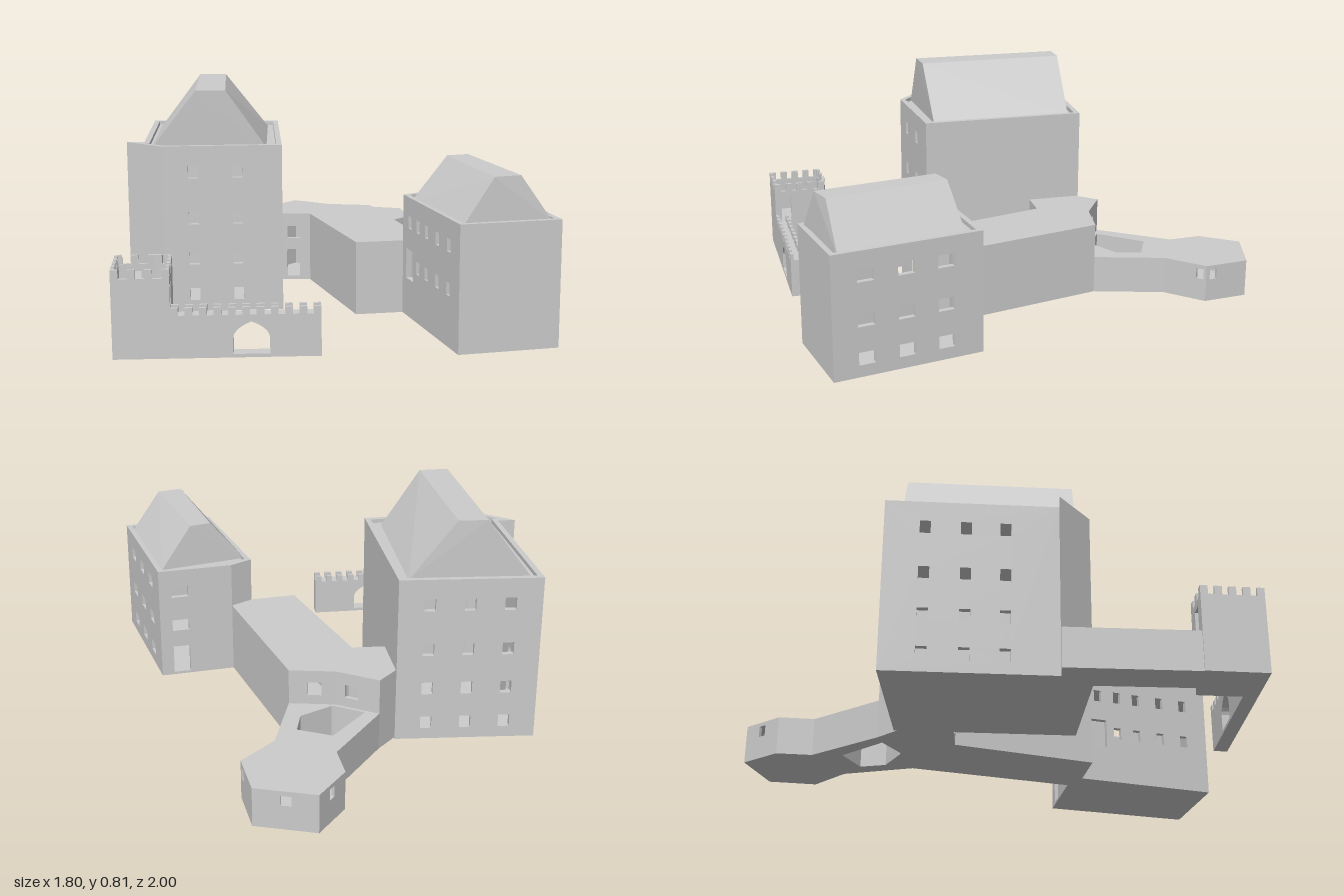
import * as THREE from 'three';
import { ConvexGeometry } from 'three/addons/geometries/ConvexGeometry.js';

const stone = new THREE.MeshStandardMaterial({ color: 0xcccccc, flatShading: true, side: THREE.DoubleSide });

function addMesh(parent, name, geometry) {
  const mesh = new THREE.Mesh(geometry, stone);
  mesh.name = name;
  parent.add(mesh);
  return mesh;
}

// Path or shape from ground points [x, z]
const outline = (pts, Type) => new Type(pts.map(([x, z]) => new THREE.Vector2(x, -z)));

// Upright prism over a ground outline
function prism(parent, name, pts, y0, y1, hole) {
  const shape = outline(pts, THREE.Shape);
  if (hole) shape.holes.push(outline(hole, THREE.Path));
  const geo = new THREE.ExtrudeGeometry(shape, { depth: y1 - y0, bevelEnabled: false });
  geo.rotateX(-Math.PI / 2).translate(0, y0, 0);
  return addMesh(parent, name, geo);
}

// Puts an object at p with its x axis running towards q, so +z is the outer side
function alignTo(obj, p, q) {
  obj.position.set(p[0], 0, p[1]);
  obj.rotation.y = Math.atan2(p[1] - q[1], q[0] - p[0]);
  return obj;
}

const span = (p, q) => Math.hypot(q[0] - p[0], q[1] - p[1]);

function rectShape(x0, y0, x1, y1, Type) {
  return new Type([[x0, y0], [x1, y0], [x1, y1], [x0, y1]].map(([x, y]) => new THREE.Vector2(x, y)));
}

// Turn from edge a-b to edge b-c, positive at outer corners
function turn(a, b, c) {
  const ux = b[0] - a[0], uz = b[1] - a[1], vx = c[0] - b[0], vz = c[1] - b[1];
  return Math.atan2(uz * vx - ux * vz, ux * vx + uz * vz);
}

// Mitred walls around an outline; openings[edge] lists [along, y, width, height]
function walls(parent, name, pts, height, t, openings = {}) {
  const n = pts.length;
  pts.forEach((p, i) => {
    const prev = pts[(i + n - 1) % n], q = pts[(i + 1) % n], next = pts[(i + 2) % n];
    const length = span(p, q);
    const shape = rectShape(0, 0, length, height, THREE.Shape);
    for (const [u, y, w, h] of openings[i] || [])
      shape.holes.push(rectShape(u - w / 2, y - h / 2, u + w / 2, y + h / 2, THREE.Path));
    const geo = new THREE.ExtrudeGeometry(shape, { depth: t, bevelEnabled: false });
    geo.translate(0, 0, -t);
    const startCut = t * Math.tan(turn(prev, p, q) / 2), endCut = t * Math.tan(turn(p, q, next) / 2);
    const pos = geo.attributes.position;
    for (let k = 0; k < pos.count; k++) {
      if (pos.getZ(k) > -t / 2) continue;
      const x = pos.getX(k);
      if (x < 1e-5) pos.setX(k, x + startCut);
      else if (x > length - 1e-5) pos.setX(k, x - endCut);
    }
    geo.computeVertexNormals();
    alignTo(addMesh(parent, name, geo), p, q);
  });
}

// Row of merlons along p-q, set back from the outer side
function merlons(parent, p, q, y, setBack = 0) {
  const row = new THREE.Group(), length = span(p, q);
  row.name = 'battlement';
  const count = Math.max(2, Math.round(length / 0.045));
  for (let i = 0; i < count; i++) {
    const m = addMesh(row, 'merlon', new THREE.BoxGeometry(0.025, 0.034, 0.012));
    m.position.set(0.0125 + (i * (length - 0.025)) / (count - 1), y + 0.013, -setBack - 0.006);
  }
  parent.add(alignTo(row, p, q));
}

// Roof with a flat top strip and upright ends
function roof(parent, name, base, y0, top, y1) {
  const points = [
    ...base.map(([x, z]) => new THREE.Vector3(x, y0, z)),
    ...top.map(([x, z]) => new THREE.Vector3(x, y1, z)),
  ];
  addMesh(parent, name, new ConvexGeometry(points));
}

// Grid of equal windows
const windows = (along, rows, w, h) => along.flatMap((u) => rows.map((y) => [u, y, w, h]));

// Hollow block: walls, ground slab and a flat top sunk below the wall tops
function block(parent, name, pts, height, t, openings, sink, court) {
  const g = new THREE.Group();
  g.name = name;
  walls(g, 'wall', pts, height, t, openings);
  if (court) walls(g, 'courtWall', court, height, t);
  prism(g, 'floor', pts, 0, 0.006, court);
  prism(g, 'flatTop', pts, height - sink - 0.01, height - sink, court);
  parent.add(g);
  return g;
}

export function createModel() {
  const model = new THREE.Group();
  model.name = 'castle';

  // Tall keep
  const keepRows = [0.065, 0.2, 0.35, 0.52];
  const keep = block(model, 'keep',
    [[-0.905, -0.127], [-0.64, 0.385], [-0.7, 0.41], [-0.53, 0.45], [-0.15, 0.245], [-0.44, -0.315]],
    0.615, 0.02, {
      0: windows([0.135, 0.27, 0.4], keepRows, 0.036, 0.046),
      3: windows([0.11, 0.27], keepRows, 0.036, 0.046),
      5: windows([0.11, 0.25, 0.39], keepRows, 0.04, 0.046),
    }, 0.015);
  roof(keep, 'keepRoof',
    [[-0.85, -0.09], [-0.46, -0.265], [-0.22, 0.23], [-0.59, 0.42]], 0.6,
    [[-0.705, -0.155], [-0.61, -0.195], [-0.345, 0.305], [-0.44, 0.355]], 0.81);

  // Smaller house
  const house = block(model, 'house',
    [[0.27, 0.11], [0.615, 0.507], [0.9, 0.3], [0.557, -0.127], [0.32, 0.03]],
    0.44, 0.02, {
      0: [...windows([0.15, 0.23, 0.33, 0.43], [0.2, 0.35], 0.03, 0.045), [0.07, 0.35, 0.03, 0.045], [0.07, 0.195, 0.07, 0.11]],
      2: windows([0.12, 0.265, 0.41], [0.065, 0.2, 0.355], 0.06, 0.045),
      3: [[0.08, 0.065, 0.065, 0.11], [0.08, 0.21, 0.065, 0.045], [0.08, 0.35, 0.065, 0.045]],
    }, 0.015);
  roof(house, 'houseRoof',
    [[0.315, 0.153], [0.567, -0.07], [0.865, 0.285], [0.615, 0.488]], 0.425,
    [[0.42, 0.07], [0.48, 0.015], [0.77, 0.35], [0.7, 0.414]], 0.587);

  // Hall joining keep and house
  block(model, 'hall',
    [[-0.35, -0.13], [-0.235, -0.18], [0.125, 0.205], [0.27, 0.11], [0.32, 0.03],
      [-0.08, -0.43], [-0.24, -0.385], [-0.405, -0.4], [-0.435, -0.305]],
    0.27, 0.015, {
      0: [[0.06, 0.07, 0.05, 0.11], [0.06, 0.195, 0.05, 0.05]],
      5: [[0.09, 0.07, 0.05, 0.11], [0.09, 0.2, 0.05, 0.05]],
      6: [[0.06, 0.07, 0.05, 0.11], [0.06, 0.2, 0.05, 0.05]],
    }, 0);

  // Low rear wing around a small court, ending in a many-sided bastion
  block(model, 'rearWing',
    [[-0.405, -0.4], [-0.24, -0.385], [-0.08, -0.43], [-0.125, -0.695], [-0.065, -0.855],
      [-0.16, -1], [-0.375, -0.97], [-0.41, -0.81], [-0.345, -0.7]],
    0.14, 0.012, {
      3: [[0.145, 0.105, 0.03, 0.04]],
      4: [[0.03, 0.105, 0.03, 0.04]],
      5: [[0.11, 0.105, 0.035, 0.035]],
      6: [[0.08, 0.105, 0.03, 0.04]],
    }, 0,
    [[-0.3, -0.6], [-0.17, -0.6], [-0.15, -0.505], [-0.24, -0.387], [-0.355, -0.405]]);

  // Broad low wall from keep to corner tower
  prism(model, 'curtainWall', [[-0.7, 0.41], [-0.5, 0.81], [-0.385, 0.745], [-0.53, 0.45]], 0, 0.14);

  // Open corner tower with battlements
  const towerPts = [[-0.505, 0.81], [-0.405, 0.995], [-0.235, 0.91], [-0.33, 0.73], [-0.385, 0.745]];
  const tower = new THREE.Group();
  tower.name = 'cornerTower';
  walls(tower, 'towerWall', towerPts, 0.27, 0.013, {
    2: [[0.045, 0.195, 0.04, 0.1]],
    4: [[0.07, 0.195, 0.045, 0.1]],
  });
  prism(tower, 'towerBase', towerPts, 0, 0.14);
  towerPts.forEach((p, i) => merlons(tower, p, towerPts[(i + 1) % towerPts.length], 0.27));
  model.add(tower);

  // Gate wall with a pointed arch
  const p = [-0.235, 0.91], q = [0.205, 0.69], length = span(p, q), mid = 0.263;
  const gate = new THREE.Group();
  gate.name = 'gateWall';
  const face = rectShape(0, 0, length, 0.145, THREE.Shape);
  const arch = new THREE.Path();
  arch.moveTo(mid - 0.06, 0.012);
  arch.lineTo(mid + 0.06, 0.012);
  arch.lineTo(mid + 0.06, 0.07);
  arch.quadraticCurveTo(mid + 0.055, 0.1, mid, 0.122);
  arch.quadraticCurveTo(mid - 0.055, 0.1, mid - 0.06, 0.07);
  face.holes.push(arch);
  const gateGeo = new THREE.ExtrudeGeometry(face, { depth: 0.05, bevelEnabled: false, curveSegments: 5 });
  gateGeo.translate(0, 0, -0.05);
  alignTo(addMesh(gate, 'archedWall', gateGeo), p, q);
  merlons(gate, p, q, 0.14);
  merlons(gate, p, q, 0.14, 0.038);
  model.add(gate);

  return model;
}
